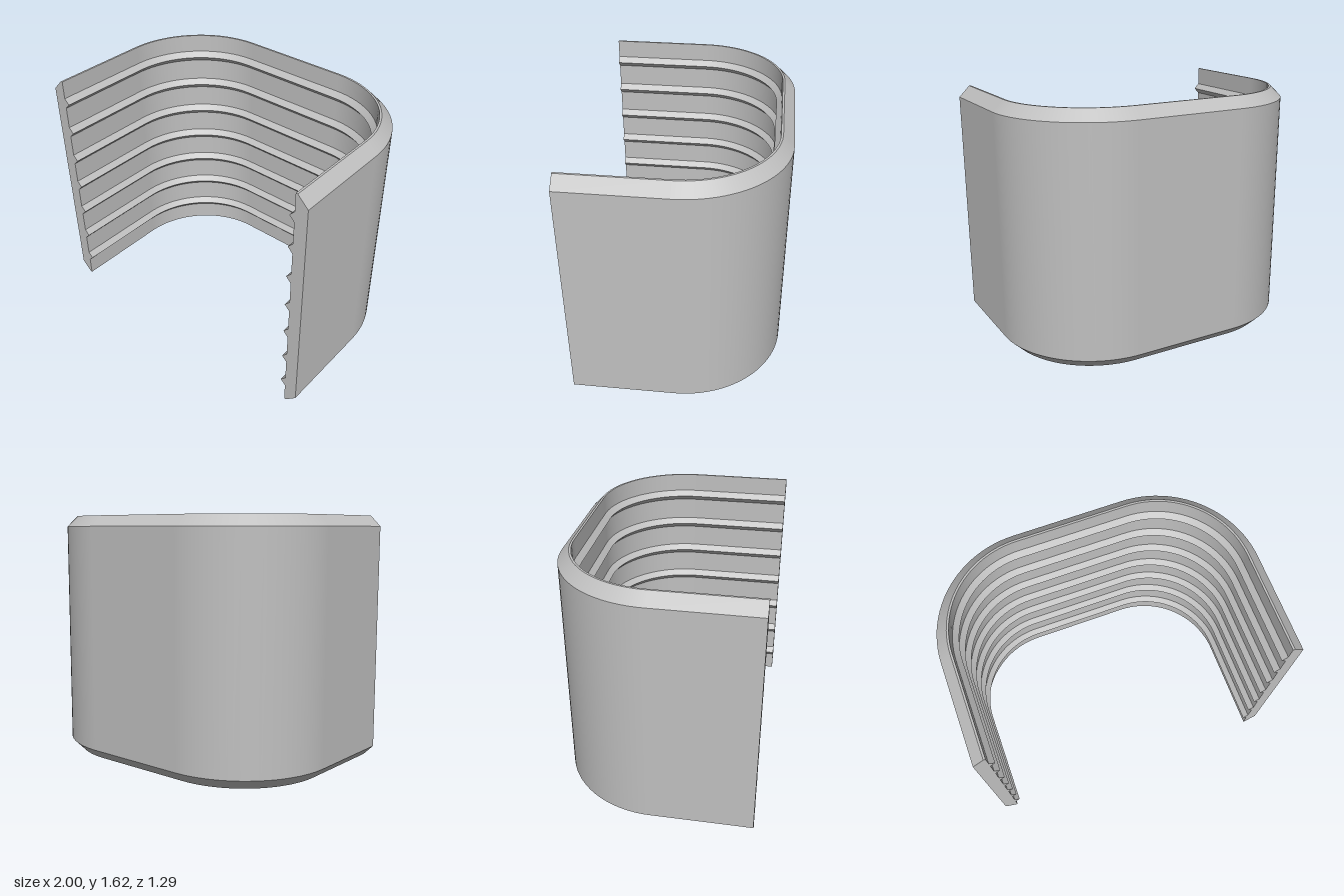
import * as THREE from 'three';

const HEIGHT = 1.615, CHAMFER = 0.07, WALL = 0.083, RIDGE = 0.033;
const RADIUS = 0.645, CORNER_X = 1 - RADIUS, FRONT = 0.645, ARC_STEPS = 24;

// Wall cross-section: [distance inward from the outer face, height]
function wallProfile() {
  const p = [[CHAMFER, 0], [0, CHAMFER], [0, HEIGHT - CHAMFER], [CHAMFER, HEIGHT], [WALL, HEIGHT]];
  for (let i = 6; i >= 0; i--) {
    const y = 0.16 + i * 0.2167;
    p.push([WALL, y + 0.035], [WALL + RIDGE, y], [WALL, y - 0.035]);
  }
  p.push([WALL, 0]);
  return p;
}

// Plan of the outer face, from the right front edge round the back to the left
function wallPath() {
  const path = [{ x: -1, z: FRONT, nx: -1, nz: 0 }];
  for (const side of [-1, 1]) {
    for (let i = 0; i <= ARC_STEPS; i++) {
      const a = Math.PI / 2 * (side < 0 ? i : ARC_STEPS - i) / ARC_STEPS;
      const nx = side * Math.cos(a), nz = -Math.sin(a);
      path.push({ x: side * CORNER_X + nx * RADIUS, z: nz * RADIUS, nx, nz });
    }
  }
  path.push({ x: 1, z: FRONT, nx: 1, nz: 0 });
  return path;
}

// Sweep the profile: one strip per profile edge, smooth along the path, sharp between strips
function sweep(profile, path) {
  const pos = [], nor = [], index = [];
  profile.forEach((a, k) => {
    const b = profile[(k + 1) % profile.length];
    const dd = b[0] - a[0], dy = b[1] - a[1], len = Math.hypot(dd, dy);
    const base = pos.length / 3;
    path.forEach((s, i) => {
      for (const [d, y] of [a, b]) {
        pos.push(s.x - s.nx * d, y, s.z - s.nz * d);
        nor.push(s.nx * dy / len, dd / len, s.nz * dy / len);
      }
      if (i < path.length - 1) {
        const v = base + i * 2;
        index.push(v, v + 1, v + 2, v + 2, v + 1, v + 3);
      }
    });
  });
  const g = new THREE.BufferGeometry();
  g.setAttribute('position', new THREE.Float32BufferAttribute(pos, 3));
  g.setAttribute('normal', new THREE.Float32BufferAttribute(nor, 3));
  g.setIndex(index);
  return g;
}

export function createModel() {
  const group = new THREE.Group();
  group.name = 'ribbedShell';
  const grey = new THREE.MeshStandardMaterial({ color: 0xc0c0c0 });
  grey.name = 'light grey';

  const profile = wallProfile();
  const wall = new THREE.Mesh(sweep(profile, wallPath()), grey);
  wall.name = 'ribbedWall';
  group.add(wall);

  // Flat end faces at the front of both side walls
  for (const side of [-1, 1]) {
    const shape = new THREE.Shape(profile.map(([d, y]) => new THREE.Vector2(side * (1 - d), y)));
    const end = new THREE.Mesh(new THREE.ShapeGeometry(shape), grey);
    end.name = side > 0 ? 'leftEndFace' : 'rightEndFace';
    end.position.z = FRONT;
    group.add(end);
  }
  return group;
}
